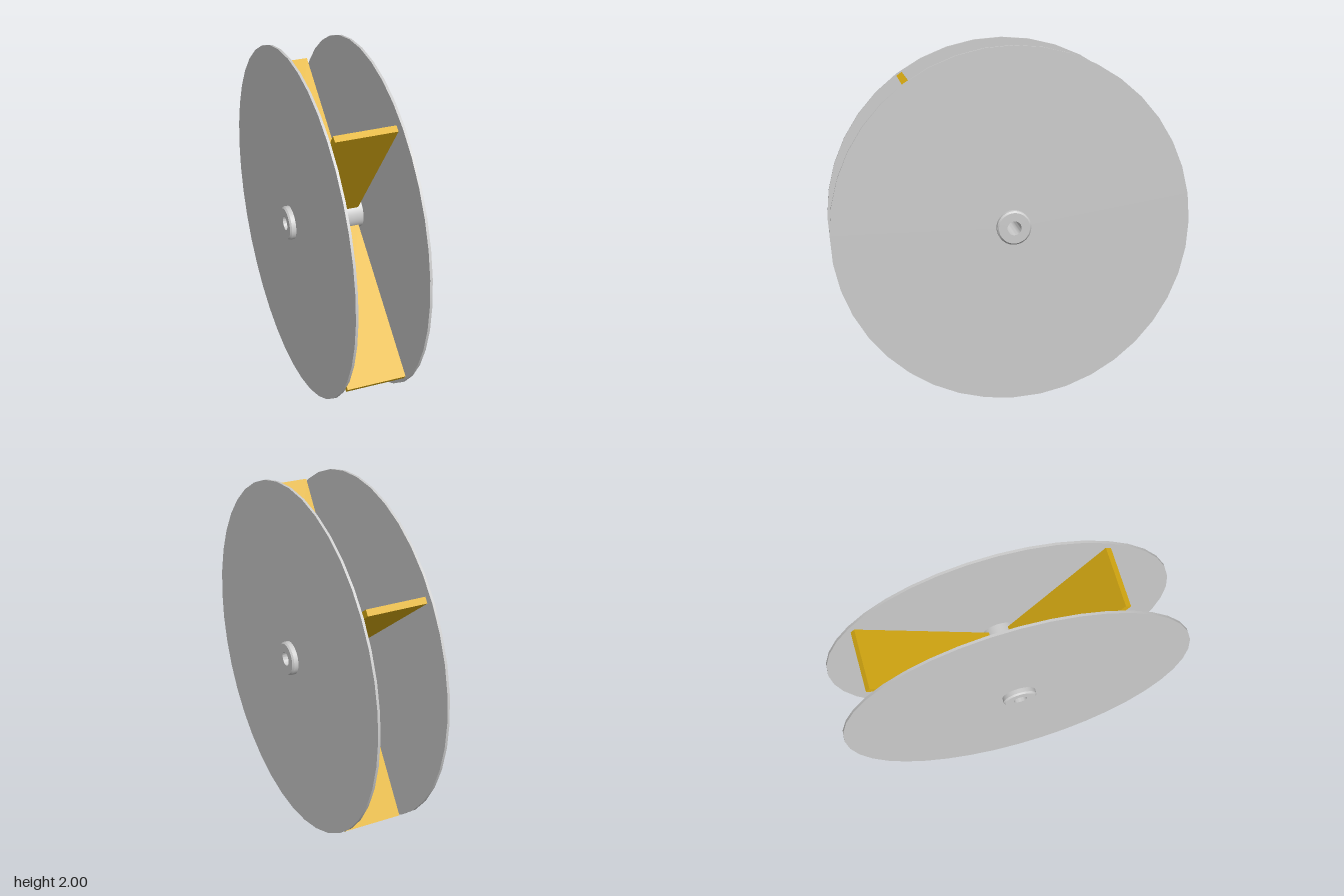
import * as THREE from 'three';
import { toCreasedNormals } from 'three/addons/utils/BufferGeometryUtils.js';

const AXLE_Y = 1;
const grey = new THREE.MeshStandardMaterial({ color: 0xcccccc });
const gold = new THREE.MeshStandardMaterial({ color: 0xdcae12 });

// Ring-shaped solid turned about the x axis from a closed [radius, x] profile
function turned(name, profile, segments) {
  const points = [...profile, profile[0]].map(([r, x]) => new THREE.Vector2(r, x));
  const geometry = new THREE.LatheGeometry(points, segments).rotateZ(-Math.PI / 2);
  const mesh = new THREE.Mesh(toCreasedNormals(geometry, 0.5), grey);
  mesh.name = name;
  return mesh;
}

export function createModel() {
  const wheel = new THREE.Group();
  wheel.name = 'paddleWheel';

  // Thin side discs, bored out for the hub
  const half = 0.007;
  for (const side of [-1, 1]) {
    const disc = turned(side > 0 ? 'leftDisc' : 'rightDisc',
      [[0.085, -half], [1, -half], [1, half], [0.085, half]], 40);
    disc.position.set(side * 0.2, AXLE_Y, 0);
    wheel.add(disc);
  }

  // Hollow hub with chamfered ends
  const R = 0.095, bore = 0.039, end = 0.241, c = 0.009;
  const hub = turned('hub', [
    [bore, -end], [R - c, -end], [R, -end + c],
    [R, end - c], [R - c, end], [bore, end],
  ], 48);
  hub.position.set(0, AXLE_Y + 0.007, 0);
  wheel.add(hub);

  // Four flat paddles from hub to rim: [angle from +z towards +y, outer radius]
  const inner = 0.08;
  [[54.5, 0.996], [-37.4, 0.994], [142.6, 0.997], [234, 1]].forEach(([degrees, outer], i) => {
    const geometry = new THREE.BoxGeometry(0.336, 0.036, outer - inner);
    geometry.translate(0, 0, (outer + inner) / 2);
    const paddle = new THREE.Mesh(geometry, gold);
    paddle.name = `paddle${i + 1}`;
    paddle.rotation.x = -THREE.MathUtils.degToRad(degrees);
    paddle.position.y = AXLE_Y;
    wheel.add(paddle);
  });

  return wheel;
}
